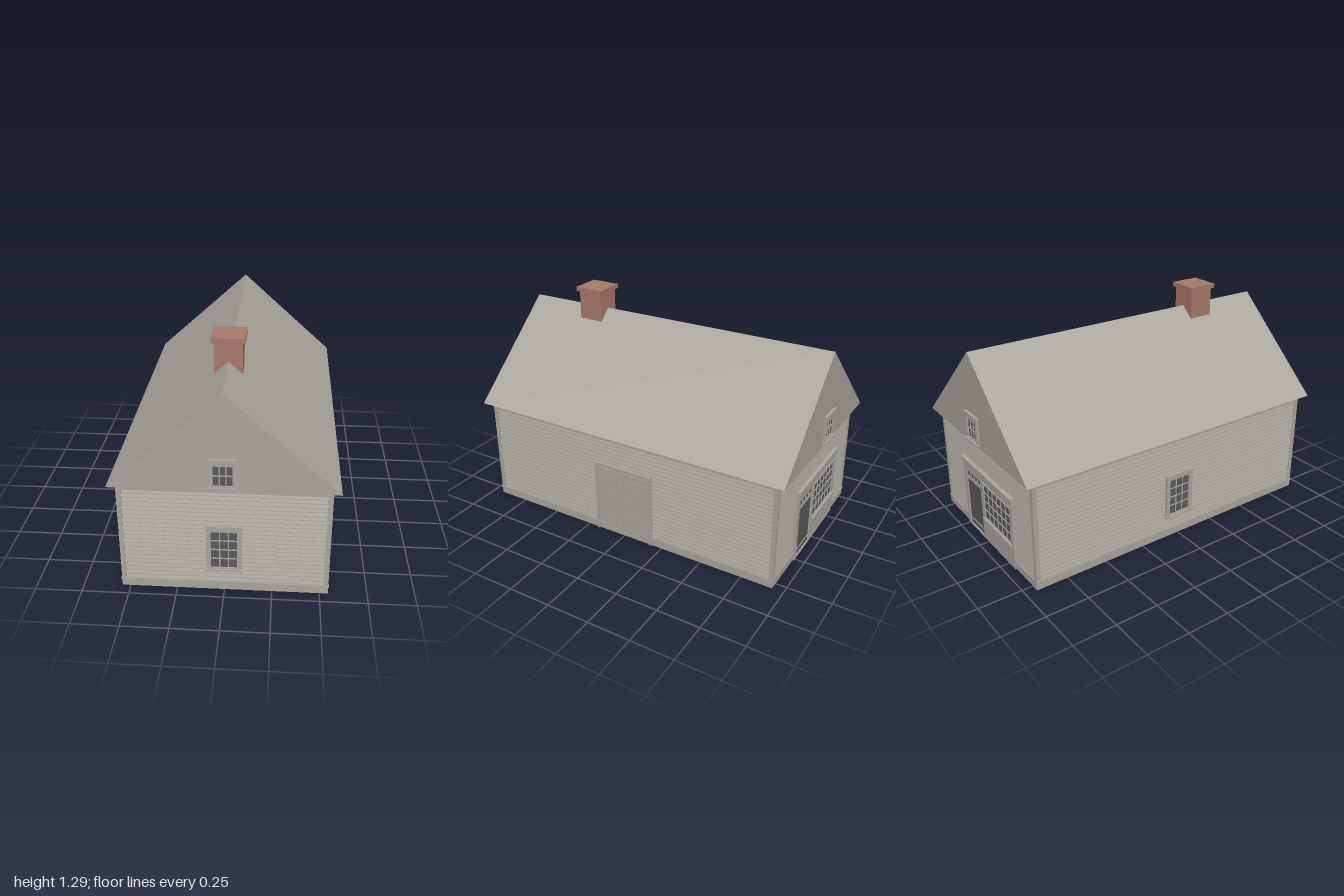
import * as THREE from 'three';

const grey = new THREE.MeshStandardMaterial({ name: 'weatheredGrey', color: 0xa9a69d });
const brick = new THREE.MeshStandardMaterial({ name: 'brick', color: 0xa8796a });
const glass = new THREE.MeshStandardMaterial({ name: 'darkGlass', color: 0x5a5a5b });

const HX = 0.545, HZ = 0.935, EAVE = 0.635;

// Box given by its limits on each axis
function box(parent, name, mat, x0, x1, y0, y1, z0, z1) {
  const m = new THREE.Mesh(new THREE.BoxGeometry(x1 - x0, y1 - y0, z1 - z0), mat);
  m.position.set((x0 + x1) / 2, (y0 + y1) / 2, (z0 + z1) / 2);
  m.name = name;
  parent.add(m);
  return m;
}

// Rectangular frame with an opening
function frame(parent, name, o, i, z0, z1) {
  const s = new THREE.Shape();
  s.moveTo(o[0], o[2]); s.lineTo(o[1], o[2]); s.lineTo(o[1], o[3]); s.lineTo(o[0], o[3]); s.closePath();
  const h = new THREE.Path();
  h.moveTo(i[0], i[2]); h.lineTo(i[0], i[3]); h.lineTo(i[1], i[3]); h.lineTo(i[1], i[2]); h.closePath();
  s.holes.push(h);
  const m = new THREE.Mesh(new THREE.ExtrudeGeometry(s, { depth: z1 - z0, bevelEnabled: false }), grey);
  m.position.z = z0;
  m.name = name;
  parent.add(m);
}

// Glass plate divided by glazing bars
function panes(parent, [x0, x1, y0, y1], z, cols, rows) {
  box(parent, 'glass', glass, x0, x1, y0, y1, z - 0.006, z);
  const t = 0.003;
  for (let c = 1; c < cols; c++) {
    const x = x0 + (x1 - x0) * c / cols;
    box(parent, 'glazingBar', grey, x - t, x + t, y0, y1, z - 0.002, z + 0.004);
  }
  for (let r = 1; r < rows; r++) {
    const y = y0 + (y1 - y0) * r / rows;
    box(parent, 'glazingBar', grey, x0, x1, y - t, y + t, z - 0.002, z + 0.004);
  }
}

// Framed window with sill and head, on a face at depth z
function windowUnit(parent, name, hw, y0, y1, opening, z, cols, rows) {
  const g = new THREE.Group();
  g.name = name;
  frame(g, 'windowFrame', [-hw, hw, y0, y1], opening, z - 0.012, z + 0.01);
  panes(g, opening, z + 0.002, cols, rows);
  box(g, 'sill', grey, -hw - 0.006, hw + 0.006, y0 - 0.002, y0 + 0.008, z - 0.01, z + 0.02);
  box(g, 'head', grey, -hw - 0.004, hw + 0.004, y1 - 0.005, y1 + 0.002, z - 0.01, z + 0.014);
  parent.add(g);
}

// One wall facing +z: thin sheet, lapped siding, corner boards, base and frieze
function wall(root, name, angle, half, depth) {
  const g = new THREE.Group();
  g.name = name;
  g.rotation.y = angle;
  root.add(g);
  box(g, 'wallSheet', grey, -half + 0.003, half - 0.003, 0, EAVE, depth - 0.014, depth - 0.009);
  const n = 22, y0 = 0.05, pitch = (0.6 - y0) / n;
  const s = new THREE.Shape();
  s.moveTo(-0.01, y0);
  for (let i = 0; i < n; i++) {
    s.lineTo(-0.002, y0 + i * pitch);
    s.lineTo(-0.002, y0 + i * pitch + 0.004);
    s.lineTo(-0.009, y0 + (i + 1) * pitch);
  }
  s.lineTo(-0.01, 0.6);
  const len = 2 * half - 0.044;
  const geo = new THREE.ExtrudeGeometry(s, { depth: len, bevelEnabled: false });
  geo.translate(0, 0, -len / 2);
  geo.rotateY(-Math.PI / 2);
  const siding = new THREE.Mesh(geo, grey);
  siding.position.z = depth;
  siding.name = 'siding';
  g.add(siding);
  for (const d of [-1, 1]) {
    const a = d * half, b = d * (half - 0.025);
    box(g, 'cornerBoard', grey, Math.min(a, b), Math.max(a, b), 0.045, EAVE, depth - 0.012, depth);
  }
  // Boards crossing the full width
  box(g, 'baseBoard', grey, -half, half, 0, 0.045, depth - 0.012, depth);
  box(g, 'baseCap', grey, -half - 0.003, half + 0.003, 0.04, 0.05, depth - 0.01, depth + 0.003);
  box(g, 'frieze', grey, -half, half, 0.595, EAVE, depth - 0.012, depth - 0.001);
  return g;
}

// Plank double door with strap hinges
function barnDoor(parent, z) {
  const g = new THREE.Group();
  g.name = 'barnDoor';
  box(g, 'doorBacking', grey, -0.185, 0.185, 0.005, 0.44, z - 0.01, z + 0.003);
  for (const d of [-1, 1]) {
    box(g, 'doorPost', grey, d * 0.179 - 0.009, d * 0.179 + 0.009, 0, 0.44, z - 0.01, z + 0.008);
    for (let i = 0; i < 4; i++) {
      const c = d * (0.021 + i * 0.0422);
      box(g, 'plank', grey, c - 0.0195, c + 0.0195, 0.01, 0.42, z, z + 0.006);
    }
    for (const y of [0.043, 0.375])
      box(g, 'strapHinge', grey, d * 0.118 - 0.049, d * 0.118 + 0.049, y - 0.005, y + 0.005, z, z + 0.009);
  }
  box(g, 'doorHead', grey, -0.19, 0.19, 0.438, 0.45, z - 0.01, z + 0.014);
  parent.add(g);
}

// Shopfront: glazed door with transom beside a wide display window
function shopfront(parent, z) {
  const g = new THREE.Group();
  g.name = 'shopfront';
  const f = z + 0.008, b = z - 0.012;
  // Local x runs opposite to the model's x here
  frame(g, 'doorSurround', [-0.265, -0.04, 0, 0.435], [-0.235, -0.055, 0.012, 0.37], b, f);
  box(g, 'doorPanel', glass, -0.235, -0.055, 0.012, 0.32, z - 0.004, z + 0.001);
  box(g, 'transomRail', grey, -0.235, -0.055, 0.315, 0.333, b, f - 0.002);
  panes(g, [-0.235, -0.055, 0.333, 0.37], z + 0.001, 4, 1);
  const open = [-0.02, 0.288, 0.15, 0.37];
  frame(g, 'displaySurround', [-0.04, 0.32, 0, 0.435], open, b, f);
  panes(g, open, z + 0.002, 6, 4);
  box(g, 'displaySill', grey, -0.034, 0.302, 0.135, 0.147, z, z + 0.018);
  box(g, 'displayHead', grey, -0.034, 0.302, 0.373, 0.382, z, z + 0.013);
  box(g, 'cornice', grey, -0.275, 0.33, 0.43, 0.445, b, z + 0.018);
  parent.add(g);
}

export function createModel() {
  const root = new THREE.Group();
  root.name = 'gabledShop';

  // Four walls
  const front = wall(root, 'frontWall', 0, HX, HZ);
  const right = wall(root, 'barnDoorWall', Math.PI / 2, HZ, HX);
  const back = wall(root, 'backWall', Math.PI, HX, HZ);
  const left = wall(root, 'windowWall', -Math.PI / 2, HZ, HX);

  // Wall openings
  const opening = [-0.068, 0.068, 0.147, 0.367];
  windowUnit(front, 'frontWindow', 0.092, 0.132, 0.4, opening, HZ, 3, 4);
  windowUnit(left, 'sideWindow', 0.092, 0.132, 0.4, opening, HX, 3, 4);
  barnDoor(right, HX);
  shopfront(back, HZ);

  // Gable windows
  for (const g of [front, back])
    windowUnit(g, 'gableWindow', 0.07, 0.655, 0.815, [-0.048, 0.048, 0.67, 0.78], 0.98, 3, 2);

  // Solid gabled roof
  const tri = new THREE.Shape();
  tri.moveTo(-0.583, EAVE);
  tri.lineTo(0.583, EAVE);
  tri.lineTo(0, 1.163);
  tri.closePath();
  const roof = new THREE.Mesh(new THREE.ExtrudeGeometry(tri, { depth: 1.956, bevelEnabled: false }), grey);
  roof.position.z = -0.978;
  roof.name = 'roof';
  root.add(roof);

  // Chimney
  box(root, 'chimneyStack', brick, -0.074, 0.074, 0.48, 1.268, 0.447, 0.597);
  box(root, 'chimneyCap', brick, -0.088, 0.088, 1.265, 1.29, 0.433, 0.611);

  return root;
}
